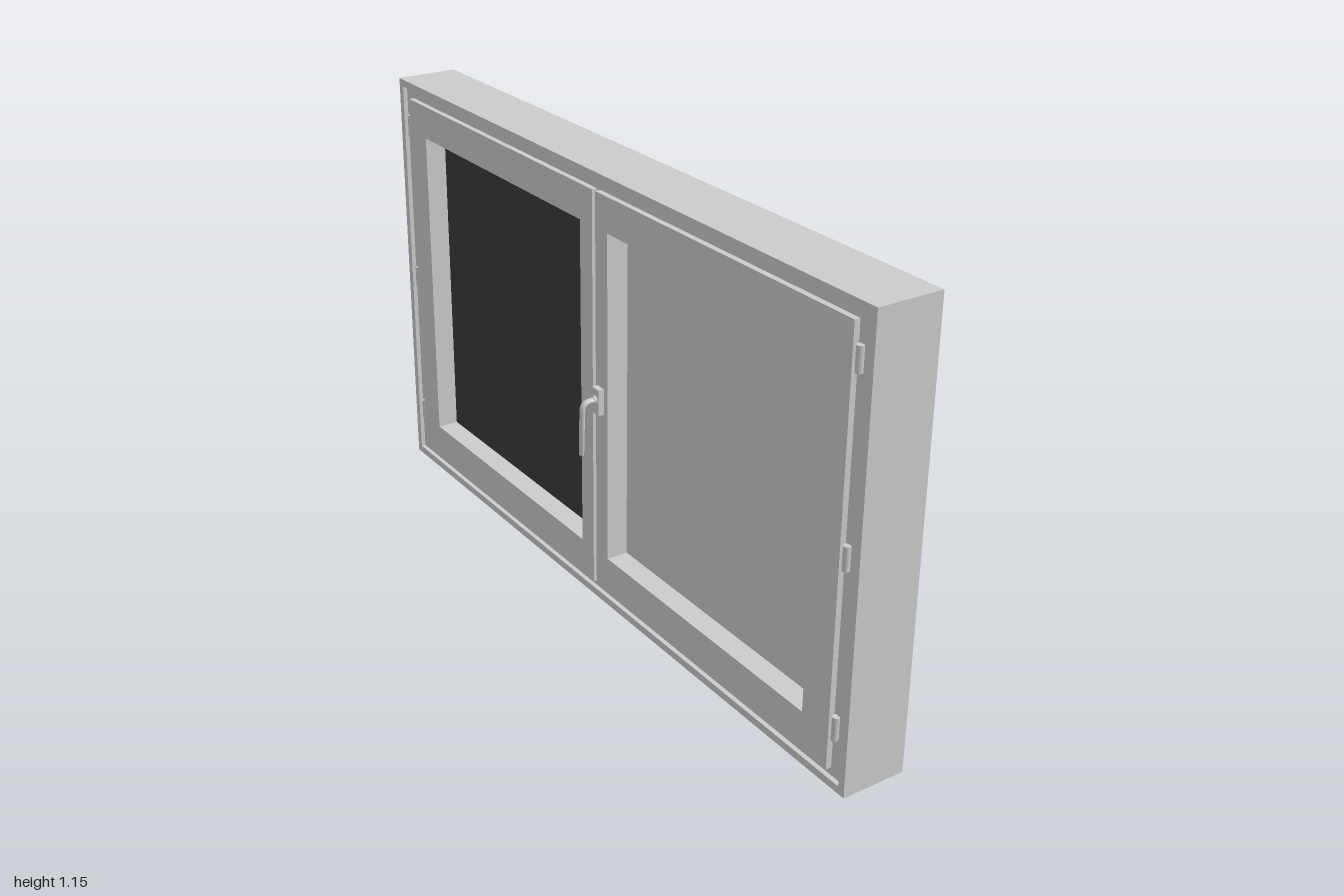
import * as THREE from 'three';

const grey = new THREE.MeshStandardMaterial({ color: 0xcccccc });
const dark = new THREE.MeshStandardMaterial({ color: 0x3a3a3a });

function add(parent, name, geometry, material = grey) {
  const mesh = new THREE.Mesh(geometry, material);
  mesh.name = name;
  parent.add(mesh);
  return mesh;
}

// Box given by its limits on each axis
function box(x0, x1, y0, y1, z0, z1) {
  return new THREE.BoxGeometry(x1 - x0, y1 - y0, z1 - z0)
    .translate((x0 + x1) / 2, (y0 + y1) / 2, (z0 + z1) / 2);
}

function rectangle(path, [y0, y1, z0, z1]) {
  path.moveTo(-z1, y0);
  path.lineTo(-z0, y0);
  path.lineTo(-z0, y1);
  path.lineTo(-z1, y1);
  path.closePath();
  return path;
}

// Rectangular frame in the yz plane, from x0 to x1; limits are [y0, y1, z0, z1]
function ring(x0, x1, outer, inner) {
  const shape = rectangle(new THREE.Shape(), outer);
  shape.holes.push(rectangle(new THREE.Path(), inner));
  return new THREE.ExtrudeGeometry(shape, { depth: x1 - x0, bevelEnabled: false })
    .rotateY(Math.PI / 2).translate(x0, 0, 0);
}

// Lever: tapered round section swept along a bent path in the xy plane
function leverGeometry() {
  const path = new THREE.CurvePath();
  const v = (x, y) => new THREE.Vector3(x, y, 0);
  path.add(new THREE.LineCurve3(v(-0.072, 0.582), v(-0.092, 0.582)));
  path.add(new THREE.QuadraticBezierCurve3(v(-0.092, 0.582), v(-0.111, 0.582), v(-0.112, 0.56)));
  path.add(new THREE.LineCurve3(v(-0.112, 0.56), v(-0.115, 0.44)));
  const steps = 40, sides = 12, positions = [], index = [];
  for (let i = 0; i <= steps; i++) {
    const t = i / steps, p = path.getPointAt(t), d = path.getTangentAt(t);
    const r = 0.0075 - 0.0025 * t;
    for (let j = 0; j < sides; j++) {
      const a = (j / sides) * Math.PI * 2;
      positions.push(p.x - d.y * r * Math.cos(a), p.y + d.x * r * Math.cos(a), 0.009 * Math.sin(a));
      if (i < steps) {
        const k = (j + 1) % sides, b = i * sides, n = b + sides;
        index.push(b + j, b + k, n + j, b + k, n + k, n + j);
      }
    }
  }
  const last = steps * sides;
  for (let j = 1; j < sides - 1; j++) {
    index.push(last, last + j, last + j + 1);
    index.push(0, j + 1, j);
  }
  const g = new THREE.BufferGeometry();
  g.setAttribute('position', new THREE.Float32BufferAttribute(positions, 3));
  g.setIndex(index);
  g.computeVertexNormals();
  return g;
}

export function createModel() {
  const model = new THREE.Group();
  model.name = 'window';

  // Fixed frame: thin surround, main frame and rebate
  const frame = new THREE.Group();
  frame.name = 'frame';
  model.add(frame);
  const edge = [0.02, 1.135, -0.98, 0.98];
  const opening = [0.07, 1.09, -0.917, 0.917];
  add(frame, 'surround', ring(-0.055, 0.115, [0, 1.155, -1, 1], edge));
  add(frame, 'mainFrame', ring(-0.043, 0.102, edge, opening));
  add(frame, 'rebate', ring(-0.03, 0.028, opening, [0.083, 1.077, -0.905, 0.905]));

  // Horizontal bars across the opening
  add(frame, 'bottomBar', box(0.036, 0.073, 0.07, 0.13, -0.917, 0.917));
  add(frame, 'topBar', box(0.036, 0.073, 1.02, 1.09, -0.917, 0.917));

  // Two sashes, meeting with a narrow gap
  const sashes = [
    { name: 'leftSash', z: [0.01, 0.904], lip: [0.01, 0.94], pane: [0.062, 0.85], material: grey },
    { name: 'rightSash', z: [-0.904, -0.004], lip: [-0.94, -0.004], pane: [-0.85, -0.058], material: dark },
  ];
  for (const s of sashes) {
    const sash = new THREE.Group();
    sash.name = s.name;
    model.add(sash);
    const hole = [0.14, 1.02, ...s.pane];
    add(sash, 'sashBody', ring(-0.043, 0.035, [0.084, 1.076, ...s.z], hole));
    add(sash, 'sashLip', ring(-0.058, -0.043, [0.04, 1.11, ...s.lip], hole));
    add(sash, 'pane', box(0, 0.01, ...hole), s.material);
  }

  // Three hinges on each outer edge
  for (const side of [-1, 1]) {
    for (const y of [0.155, 0.58, 1.03]) {
      const hinge = add(model, 'hinge', new THREE.CylinderGeometry(0.009, 0.009, 0.06, 12));
      hinge.position.set(-0.049, y, side * 0.952);
    }
  }

  // Handle: back plate, collar and lever
  const handle = new THREE.Group();
  handle.name = 'handle';
  handle.position.z = 0.032;
  model.add(handle);
  add(handle, 'backPlate', box(-0.074, -0.058, 0.543, 0.612, -0.015, 0.015));
  add(handle, 'collar', new THREE.CylinderGeometry(0.011, 0.011, 0.008, 16)
    .rotateZ(Math.PI / 2).translate(-0.076, 0.582, 0));
  add(handle, 'lever', leverGeometry());

  return model;
}
